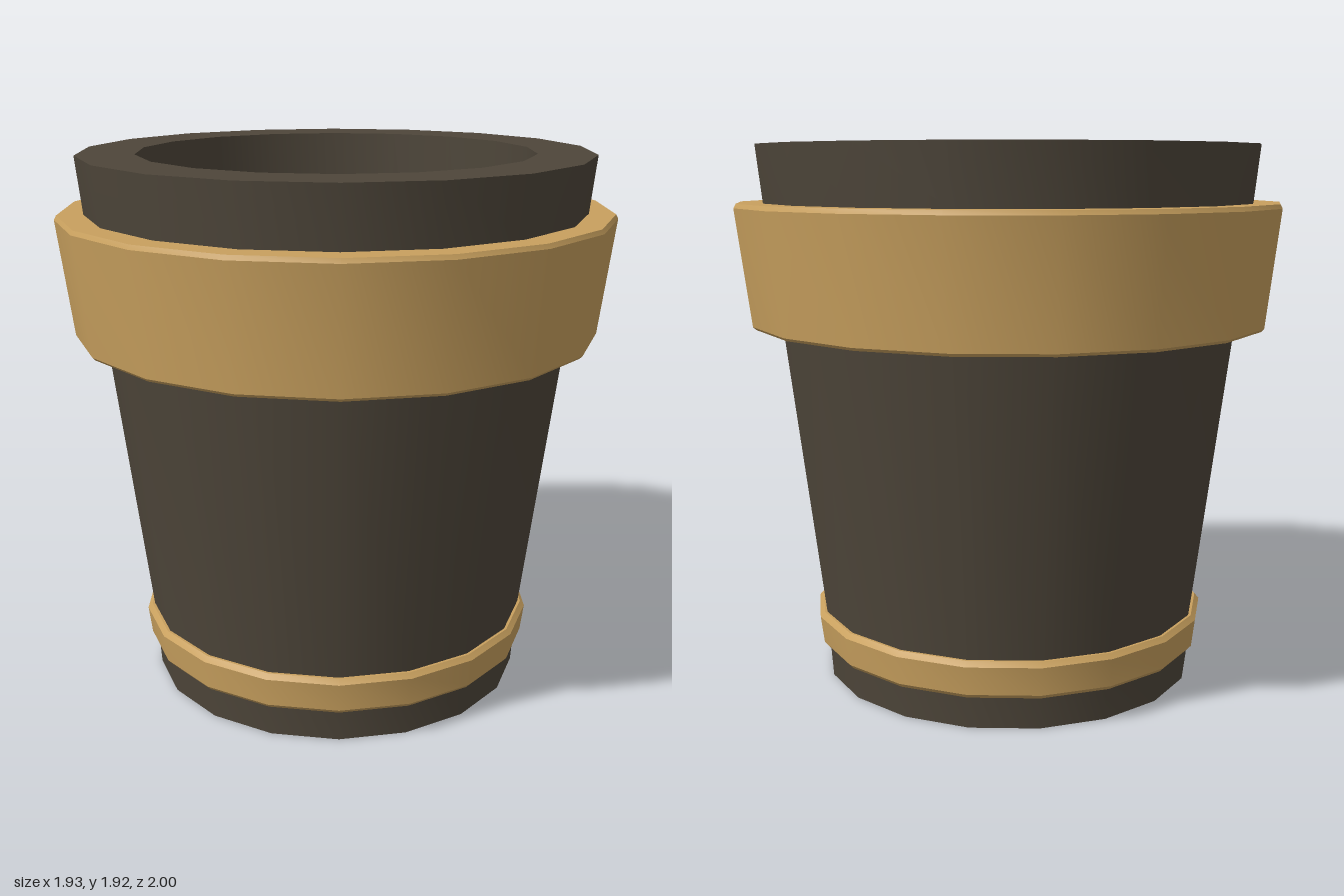
import * as THREE from 'three';
import { toCreasedNormals } from 'three/addons/utils/BufferGeometryUtils.js';

const SIDES = 18;
const brown = new THREE.MeshStandardMaterial({ color: 0x4e463a });
const gold = new THREE.MeshStandardMaterial({ color: 0xc8a05e });

// Lathe whose rings are slightly oval: each ring is [y, x radius, z radius]
function ovalLathe(name, rings, material) {
  const geo = new THREE.LatheGeometry(rings.map(([y, rx]) => new THREE.Vector2(rx, y)), SIDES);
  const pos = geo.attributes.position;
  for (let i = 0; i < pos.count; i++) {
    const [, rx, rz] = rings[i % rings.length];
    if (rx > 0) pos.setZ(i, pos.getZ(i) * rz / rx);
  }
  const mesh = new THREE.Mesh(toCreasedNormals(geo, THREE.MathUtils.degToRad(25)), material);
  mesh.name = name;
  return mesh;
}

export function createModel() {
  const group = new THREE.Group();
  group.name = 'pot';

  // Solid base, tapered outer wall, thick rim and deep well
  group.add(ovalLathe('potBody', [
    [0, 0, 0],
    [0, 0.68, 0.695],
    [0.24, 0.698, 0.71],
    [1.29, 0.826, 0.871],
    [1.72, 0.882, 0.898],
    [1.92, 0.904, 0.908],
    [1.92, 0.70, 0.70],
    [0.26, 0.69, 0.69],
    [0.26, 0, 0],
  ], brown));

  // Wide collar below the rim, with chamfered edges
  group.add(ovalLathe('upperBand', [
    [1.29, 0.81, 0.85],
    [1.29, 0.92, 0.966],
    [1.30, 0.93, 0.975],
    [1.705, 0.982, 1.0],
    [1.72, 0.974, 0.992],
    [1.72, 0.865, 0.88],
  ], gold));

  // Narrow hoop near the foot
  group.add(ovalLathe('lowerBand', [
    [0.115, 0.67, 0.68],
    [0.115, 0.698, 0.715],
    [0.13, 0.711, 0.729],
    [0.228, 0.724, 0.735],
    [0.245, 0.708, 0.72],
    [0.245, 0.68, 0.69],
  ], gold));

  return group;
}
